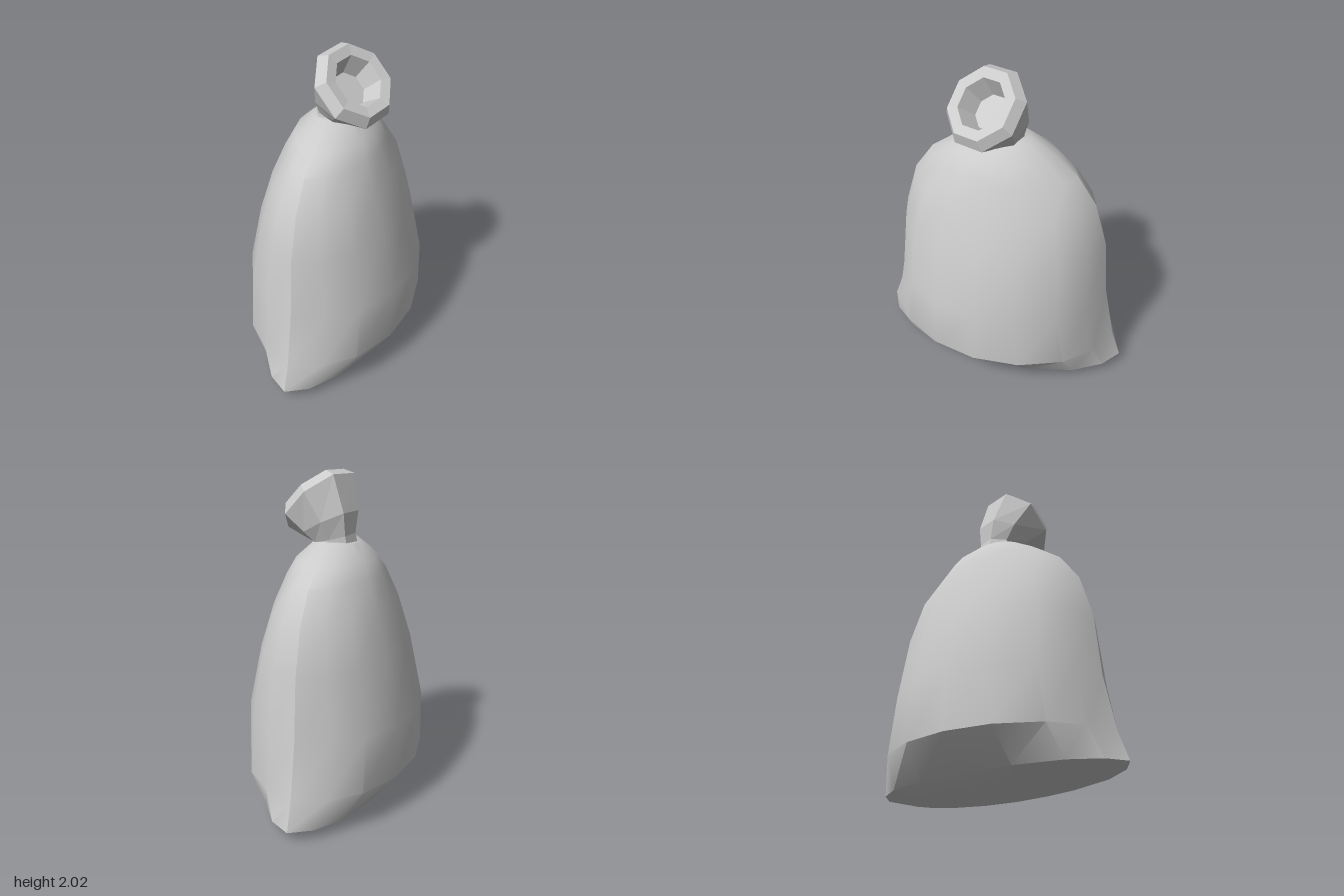
import * as THREE from 'three';
import { toCreasedNormals } from 'three/addons/utils/BufferGeometryUtils.js';

// Skin a list of closed rings (arrays of Vector3); a one-point ring closes an end.
function loft(rings) {
  const pos = [];
  const tri = (a, b, c) => [a, b, c].forEach((p) => pos.push(p.x, p.y, p.z));
  for (let i = 0; i < rings.length - 1; i++) {
    const lo = rings[i], hi = rings[i + 1];
    const n = Math.max(lo.length, hi.length);
    for (let j = 0; j < n; j++) {
      const k = (j + 1) % n;
      const a = lo[j % lo.length], b = lo[k % lo.length];
      const c = hi[k % hi.length], d = hi[j % hi.length];
      if (lo.length > 1) tri(a, b, c);
      if (hi.length > 1) tri(a, c, d);
    }
  }
  const geo = new THREE.BufferGeometry();
  geo.setAttribute('position', new THREE.Float32BufferAttribute(pos, 3));
  geo.computeVertexNormals();
  return geo;
}

// One quarter of the lens-shaped section, as [x, z], from the seam to the side
const QUARTER = [[0, 1], [0.36, 0.9], [0.68, 0.7], [0.92, 0.37], [1, 0]];

function lensRing([y, halfX, halfZ, lift = 0, pinch = 1]) {
  const pts = [];
  for (let j = 0; j < 16; j++) {
    const q = j % 8 <= 4 ? j % 8 : 8 - (j % 8);
    const [x, z] = QUARTER[q];
    const sx = j <= 8 ? 1 : -1;
    const sz = j <= 4 || j >= 12 ? 1 : -1;
    const k = q === 2 ? pinch : 1;
    pts.push(new THREE.Vector3(sx * x * halfX * k, y + lift * z * z, sz * z * halfZ * k));
  }
  return pts;
}

function tiltedRing([x, y, z, radius, nx, ny, nz]) {
  const turn = new THREE.Quaternion().setFromUnitVectors(
    new THREE.Vector3(0, 1, 0), new THREE.Vector3(nx, ny, nz).normalize());
  return Array.from({ length: 8 }, (_, j) => {
    const a = (j / 8) * Math.PI * 2 + 0.1;
    return new THREE.Vector3(Math.sin(a) * radius, 0, Math.cos(a) * radius)
      .applyQuaternion(turn).add(new THREE.Vector3(x, y, z));
  });
}

export function createModel() {
  const group = new THREE.Group();
  const add = (name, geometry, flatShading) => {
    const mesh = new THREE.Mesh(geometry,
      new THREE.MeshStandardMaterial({ color: 0xcccccc, flatShading }));
    mesh.name = name;
    group.add(mesh);
  };

  // Filled sack: rings of height, half width, half depth, seam lift, shoulder dent
  const bodyRings = [
    [0, 0.2, 0.6, 0.01],
    [0.05, 0.36, 0.83, 0.02],
    [0.24, 0.53, 0.77],
    [0.58, 0.53, 0.7],
    [0.97, 0.44, 0.665],
    [1.24, 0.355, 0.585],
    [1.42, 0.28, 0.46, 0, 0.95],
    [1.51, 0.235, 0.34],
    [1.6, 0.135, 0.17, 0.015],
  ].map(lensRing);
  const body = loft([
    [new THREE.Vector3(0, 0, 0)], ...bodyRings, [new THREE.Vector3(0, 1.62, 0)],
  ]);
  add('sackBody', toCreasedNormals(body, 0.6), false);

  // Gathered neck: rings of centre, radius and facing, flaring and bending to a thick rim
  const facing = [0.66, 0.69, 0.27];
  const neckRings = [
    [0.01, 1.56, 0, 0.14, 0.1, 0.98, 0],
    [0.02, 1.62, 0, 0.135, 0.24, 0.97, 0.03],
    [0.05, 1.7, 0.015, 0.19, 0.45, 0.87, 0.15],
    [0.125, 1.825, 0.055, 0.26, ...facing],
    [0.165, 1.87, 0.07, 0.22, ...facing],
    [0.16, 1.865, 0.068, 0.155, ...facing],
    [0.085, 1.775, 0.035, 0.11, ...facing],
  ].map(tiltedRing);
  add('tiedNeck', loft([...neckRings, [new THREE.Vector3(0.085, 1.775, 0.035)]]), true);

  return group;
}
